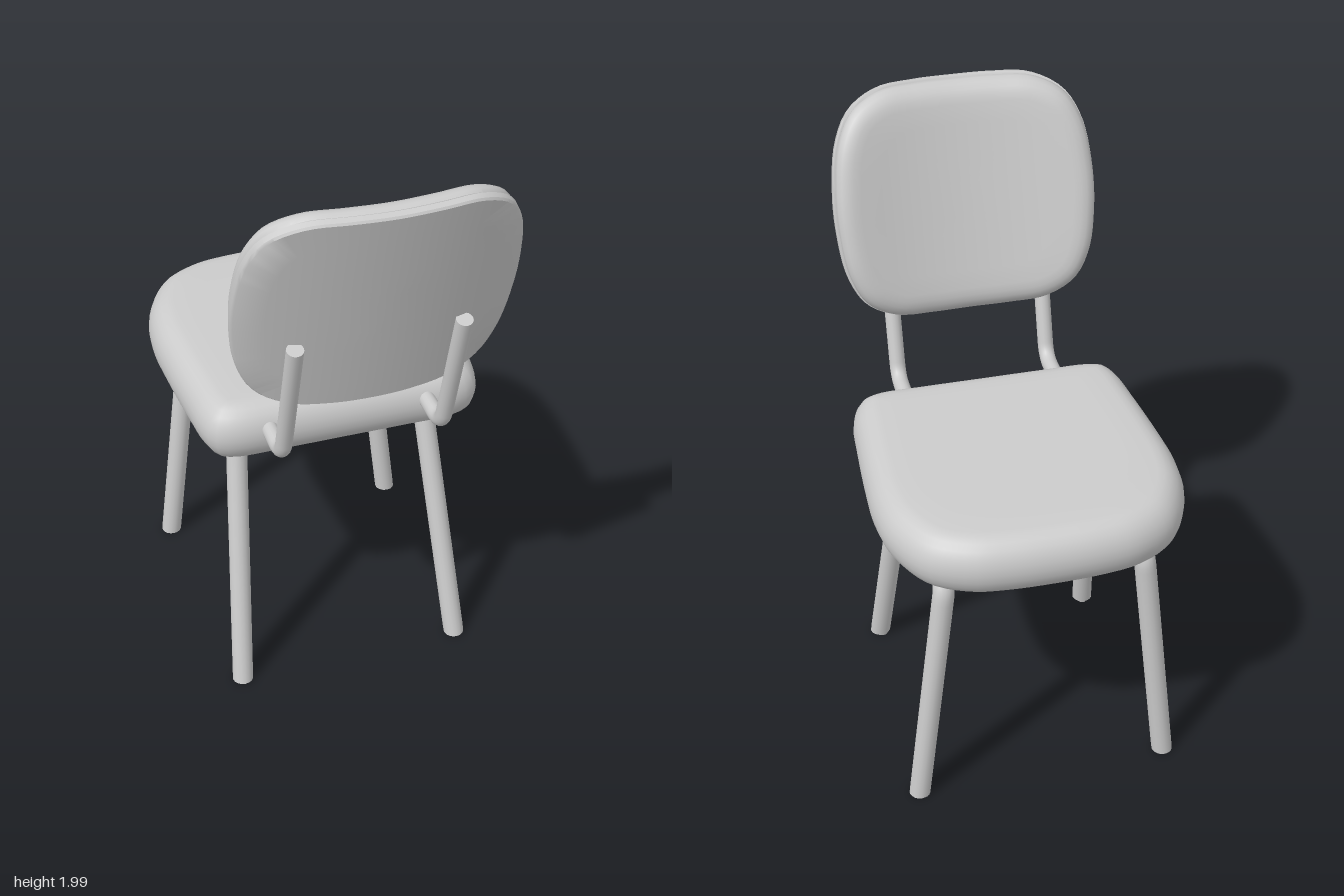
import * as THREE from 'three';
import { mergeGeometries, toCreasedNormals } from 'three/addons/utils/BufferGeometryUtils.js';

const material = new THREE.MeshStandardMaterial({ color: 0xcccccc, side: THREE.DoubleSide });

function mesh(name, geometry) {
  const m = new THREE.Mesh(geometry, material);
  m.name = name;
  return m;
}

// Smooth closed outline in x/z from its right half (first and last point on the axis)
function outline(half, count = 96) {
  const other = half.slice(1, -1).reverse().map(([x, z]) => [-x, z]);
  const points = [...half, ...other].map(([x, z]) => new THREE.Vector3(x, 0, z));
  return new THREE.CatmullRomCurve3(points, true).getSpacedPoints(count).slice(0, count);
}

// Closed pad: rings of the outline, each given as [inset, height], bent upward by bend * x^2
function pad(points, profile, bend = 0) {
  const n = points.length;
  const normals = points.map((p, i) => {
    const t = points[(i + 1) % n].clone().sub(points[(i + n - 1) % n]).normalize();
    return new THREE.Vector3(t.z, 0, -t.x);
  });
  const fill = [0, 0.2, 0.4, 0.6, 0.8];
  const first = profile[0], last = profile[profile.length - 1];
  const rings = [
    ...fill.map(s => [...first, s]),
    ...profile.map(p => [...p, 1]),
    ...fill.slice().reverse().map(s => [...last, s]),
  ];
  const position = [], index = [];
  rings.forEach(([inset, h, s], j) => {
    for (let i = 0; i < n; i++) {
      const x = (points[i].x - normals[i].x * inset) * s;
      const z = (points[i].z - normals[i].z * inset) * s;
      position.push(x, h + bend * x * x, z);
      if (j === rings.length - 1) continue;
      const a = j * n + i, b = j * n + (i + 1) % n;
      index.push(a, a + n, b, b, a + n, b + n);
    }
  });
  const g = new THREE.BufferGeometry();
  g.setAttribute('position', new THREE.Float32BufferAttribute(position, 3));
  g.setIndex(index);
  return toCreasedNormals(g, 0.7);
}

// Path through corners, each rounded off over the given distance
function roundedPath(corners, round) {
  const path = new THREE.CurvePath();
  let from = corners[0];
  for (let i = 1; i < corners.length - 1; i++) {
    const c = corners[i];
    const toward = q => c.clone().add(q.clone().sub(c).setLength(round));
    const a = toward(corners[i - 1]), b = toward(corners[i + 1]);
    path.add(new THREE.LineCurve3(from, a));
    path.add(new THREE.QuadraticBezierCurve3(a, c, b));
    from = b;
  }
  path.add(new THREE.LineCurve3(from, corners[corners.length - 1]));
  return path;
}

// Bent rod with capped ends; ends at the floor are cut level
function rod(corners, radius, round) {
  const path = roundedPath(corners.map(c => new THREE.Vector3(...c)), round);
  const parts = [new THREE.TubeGeometry(path, 120, radius, 16, false)];
  for (const t of [0, 1]) {
    const direction = path.getTangentAt(t).multiplyScalar(t ? 1 : -1);
    const turn = new THREE.Quaternion().setFromUnitVectors(new THREE.Vector3(0, 0, 1), direction);
    const end = path.getPointAt(t);
    parts.push(new THREE.CircleGeometry(radius, 16).applyQuaternion(turn).translate(end.x, end.y, end.z));
  }
  const g = mergeGeometries(parts);
  const p = g.attributes.position;
  for (let i = 0; i < p.count; i++) if (p.getY(i) < 0.011) p.setY(i, 0);
  return g;
}

export function createModel() {
  const chair = new THREE.Group();
  chair.name = 'chair';

  // Seat cushion with a fully rounded rim
  const seatOutline = outline([
    [0, -0.705], [0.15, -0.7], [0.27, -0.68], [0.395, -0.61], [0.475, -0.465], [0.498, -0.32],
    [0.495, -0.17], [0.478, 0.07], [0.466, 0.18], [0.438, 0.25], [0.37, 0.28], [0.2, 0.284], [0, 0.284],
  ]);
  const seatProfile = [];
  for (let i = 0; i <= 12; i++) {
    const t = (i / 12 - 0.5) * Math.PI;
    seatProfile.push([0.09 * (1 - Math.cos(t)), 0.99 + 0.105 * Math.sin(t)]);
  }
  chair.add(mesh('seat', pad(seatOutline, seatProfile)));

  // Leaning, curved backrest: thin rear shell and front cushion
  const quarter = [[0, 0.395], [0.13, 0.394], [0.26, 0.382], [0.36, 0.325], [0.415, 0.225], [0.44, 0.07]];
  const backOutline = outline([...quarter.map(([x, z]) => [x, -z]), ...quarter.slice().reverse()]);
  const shell = [[0.006, 0], [0, 0.006], [0, 0.026], [0.006, 0.03]];
  const cushion = [
    [0.02, 0.028], [0.009, 0.036], [0.006, 0.05], [0.01, 0.066],
    [0.022, 0.083], [0.04, 0.095], [0.06, 0.102], [0.085, 0.105],
  ];
  const backrest = new THREE.Group();
  backrest.name = 'backrest';
  backrest.add(mesh('backrestShell', pad(backOutline, shell, 0.4)));
  backrest.add(mesh('backrestCushion', pad(backOutline, cushion, 0.4)));
  backrest.position.set(0, 1.605, 0.594);
  backrest.rotation.x = THREE.MathUtils.degToRad(-74.4);
  chair.add(backrest);

  for (const [side, s] of [['left', 1], ['right', -1]]) {
    // Rod carrying the backrest
    chair.add(mesh(side + 'BackSupport', rod(
      [[s * 0.263, 1.015, 0.15], [s * 0.263, 1.015, 0.412], [s * 0.263, 1.505, 0.557]], 0.027, 0.06)));

    // Front and rear leg bent from one tube
    chair.add(mesh(side + 'Legs', rod(
      [[s * 0.385, 0, 0.306], [s * 0.322, 0.872, 0.078], [s * 0.322, 0.872, -0.54], [s * 0.422, 0, -0.54]],
      0.035, 0.06)));
  }
  return chair;
}
